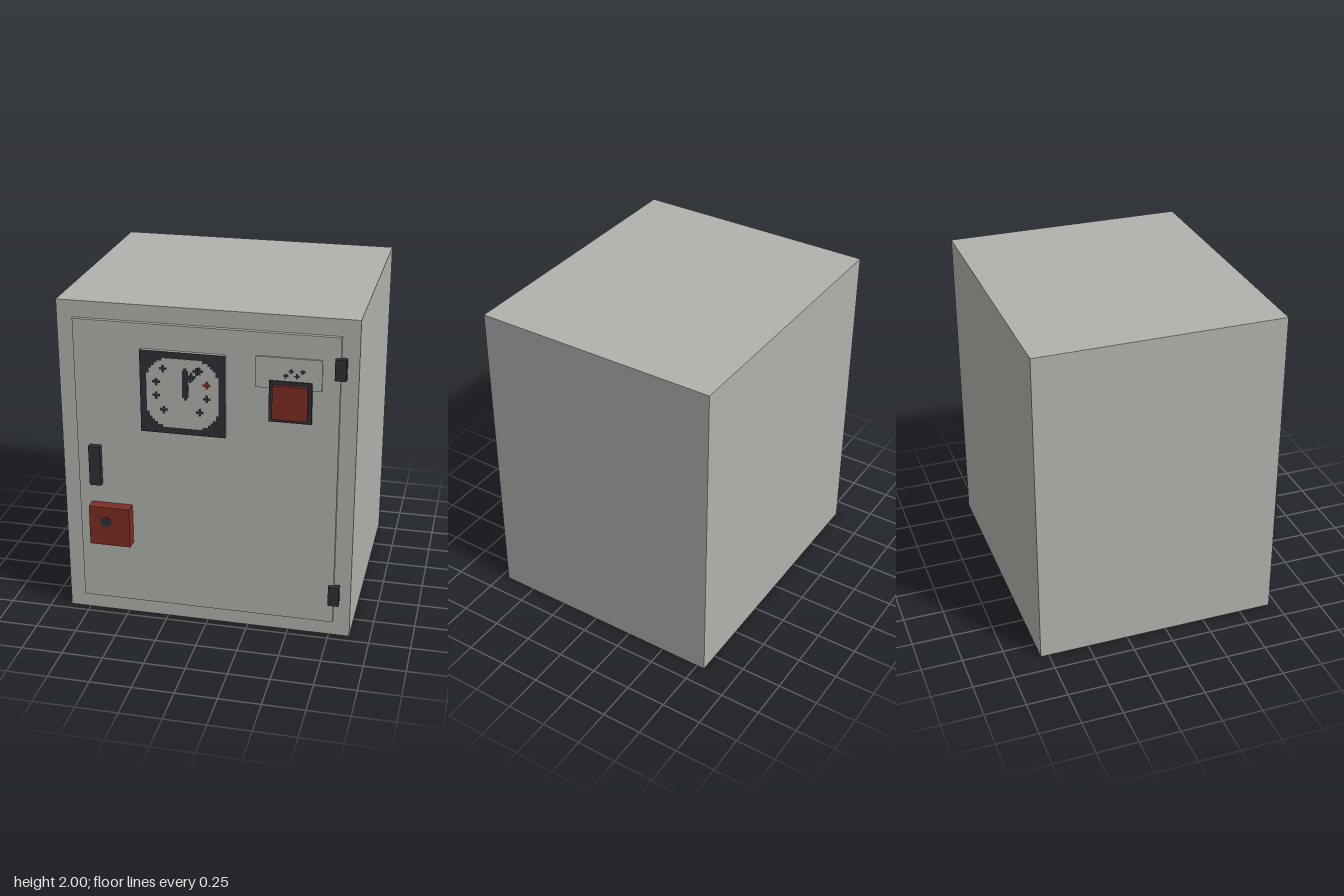
import * as THREE from 'three';

export function createModel() {
  const model = new THREE.Group();
  const material = (name, color) => {
    const m = new THREE.MeshStandardMaterial({ color });
    m.name = name;
    return m;
  };
  const grey = material('greyPaint', 0xb0b2ac);
  const dark = material('darkPlastic', 0x2e2e36);
  const red = material('redPaint', 0x7c2d23);

  // Box given by its lower and upper limits on each axis
  function box(name, mat, [x0, x1], [y0, y1], [z0, z1], parent = model) {
    const mesh = new THREE.Mesh(new THREE.BoxGeometry(x1 - x0, y1 - y0, z1 - z0), mat);
    mesh.position.set((x0 + x1) / 2, (y0 + y1) / 2, (z0 + z1) / 2);
    mesh.name = name;
    parent.add(mesh);
    return mesh;
  }

  // Flat shape turned into a thin plate standing on z
  function plate(name, mat, points, x, y, z, depth, parent) {
    const shape = new THREE.Shape(points.map(([a, b]) => new THREE.Vector2(a, b)));
    const mesh = new THREE.Mesh(new THREE.ExtrudeGeometry(shape, { depth, bevelEnabled: false }), mat);
    mesh.position.set(x, y, z);
    mesh.name = name;
    parent.add(mesh);
  }

  // Plus-shaped mark, three cells wide
  function plus(name, mat, x, y, z, cell, parent) {
    const a = cell / 2, b = cell * 1.5;
    const points = [[a, -b], [a, -a], [b, -a], [b, a], [a, a], [a, b],
      [-a, b], [-a, a], [-b, a], [-b, -a], [-a, -a], [-a, -b]];
    plate(name, mat, points, x, y, z, 0.002, parent);
  }

  // Cabinet and door
  box('cabinet', grey, [-0.875, 0.875], [0, 2], [-0.8, 0.7]);
  box('door', grey, [-0.775, 0.775], [0.1, 1.9], [0.7, 0.725]);

  // Hinges
  for (const y of [0.225, 1.655]) box('hinge', dark, [0.745, 0.81], [y, y + 0.125], [0.712, 0.75]);

  // Handle
  box('handle', dark, [-0.7, -0.63], [0.875, 1.125], [0.725, 0.762]);

  // Lock box with round keyhole
  box('lockBox', red, [-0.7, -0.45], [0.5, 0.75], [0.725, 0.798]);
  const keyhole = new THREE.Mesh(new THREE.CylinderGeometry(0.034, 0.034, 0.004, 16), dark);
  keyhole.rotation.x = Math.PI / 2;
  keyhole.position.set(-0.597, 0.655, 0.798);
  keyhole.name = 'keyhole';
  model.add(keyhole);

  // Clock: casing, dark face and stepped dial
  const clock = new THREE.Group();
  clock.name = 'clock';
  model.add(clock);
  const cx = -0.125, cy = 1.5, cell = 1 / 64;
  box('clockCasing', grey, [-0.375, 0.125], [1.25, 1.75], [0.725, 0.746], clock);
  box('clockFace', dark, [-0.375, 0.125], [1.25, 1.75], [0.746, 0.748], clock);

  // One stepped corner, repeated in four turns
  const corner = [[13.5, 7.5], [12.5, 7.5], [12.5, 9.5], [11.5, 9.5], [11.5, 10.5],
    [10.5, 10.5], [10.5, 11.5], [9.5, 11.5], [9.5, 12.5], [7.5, 12.5], [7.5, 13.5]];
  const outline = [];
  for (let turn = 0; turn < 4; turn++) {
    for (const [x, y] of corner) {
      const [a, b] = [[x, y], [-y, x], [-x, -y], [y, -x]][turn];
      outline.push([a * cell, b * cell]);
    }
  }
  plate('clockDial', grey, outline, cx, cy, 0.748, 0.002, clock);

  // Hour marks, one of them red
  for (const side of [-1, 1]) {
    for (const [dx, y] of [[0.106, 1.648], [0.148, 1.565], [0.148, 1.482], [0.106, 1.396]]) {
      const mat = side === 1 && y === 1.565 ? red : dark;
      plus('hourMark', mat, cx - 0.005 + side * dx, y, 0.75, cell * 0.95, clock);
    }
  }

  // Clock hands
  box('minuteHand', dark, [-0.125, -0.089], [1.48, 1.645], [0.75, 0.752], clock);
  box('minuteHandTips', dark, [-0.115, -0.098], [1.465, 1.66], [0.75, 0.752], clock);
  for (const [x, y] of [[-0.078, 1.598], [-0.07, 1.61], [-0.04, 1.645]]) {
    plus('hourHand', dark, x, y, 0.7505, cell, clock);
  }

  // Sign plate with small marks
  box('signPlate', grey, [0.297, 0.674], [1.577, 1.762], [0.725, 0.735]);
  for (const [x, y] of [[0.5, 1.686], [0.563, 1.686], [0.468, 1.657], [0.531, 1.657]]) {
    plus('signMark', dark, x, y, 0.735, 0.01, model);
  }

  // Red push button in dark frame
  box('buttonFrame', dark, [0.375, 0.62], [1.378, 1.625], [0.725, 0.745]);
  box('button', red, [0.397, 0.6], [1.4, 1.603], [0.745, 0.767]);

  return model;
}
